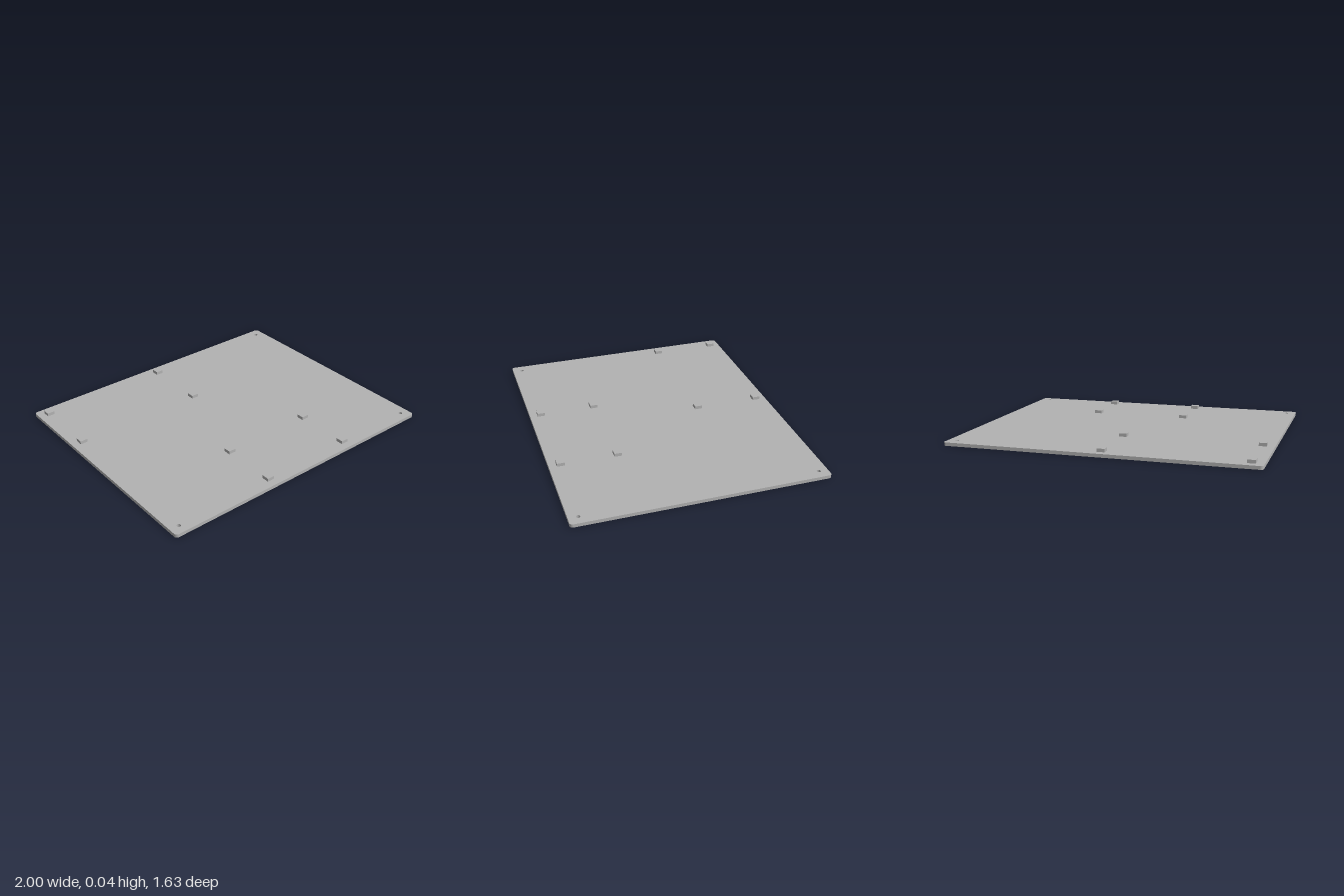
import * as THREE from 'three';

const HALF_X = 1, HALF_Z = 0.815, THICK = 0.022, POST = 0.05, POST_TOP = 0.043;

// Rounded rectangle outline centred on the origin
function roundedRect(hx, hy, r) {
  const s = new THREE.Shape();
  s.absarc(hx - r, hy - r, r, 0, Math.PI / 2);
  s.absarc(-hx + r, hy - r, r, Math.PI / 2, Math.PI);
  s.absarc(-hx + r, -hy + r, r, Math.PI, Math.PI * 1.5);
  s.absarc(hx - r, -hy + r, r, Math.PI * 1.5, Math.PI * 2);
  s.closePath();
  return s;
}

export function createModel() {
  const group = new THREE.Group();
  group.name = 'mountingPlate';
  const grey = new THREE.MeshStandardMaterial({ color: 0xb2b2b2 });
  grey.name = 'grey';

  // Base plate with a screw hole in each corner
  const outline = roundedRect(HALF_X, HALF_Z, 0.02);
  for (const x of [-0.937, 0.937]) {
    for (const y of [-0.754, 0.754]) {
      const hole = new THREE.Path();
      hole.absarc(x, y, 0.0125, 0, Math.PI * 2, true);
      outline.holes.push(hole);
    }
  }
  const plateGeometry = new THREE.ExtrudeGeometry(outline, {
    depth: THICK, bevelEnabled: false, curveSegments: 16,
  });
  plateGeometry.rotateX(-Math.PI / 2);
  const plate = new THREE.Mesh(plateGeometry, grey);
  plate.name = 'basePlate';
  group.add(plate);

  // Two sets of four square standoffs
  const height = POST_TOP - THICK;
  const postGeometry = new THREE.BoxGeometry(POST, height, POST);
  const sets = [
    { name: 'rearStandoff', xs: [-0.925, -0.025], zs: [-0.745, -0.315] },
    { name: 'frontStandoff', xs: [-0.253, 0.383], zs: [0.372, 0.74] },
  ];
  for (const { name, xs, zs } of sets) {
    for (const x of xs) {
      for (const z of zs) {
        const post = new THREE.Mesh(postGeometry, grey);
        post.name = name;
        post.position.set(x, THICK + height / 2, z);
        group.add(post);
      }
    }
  }
  return group;
}
